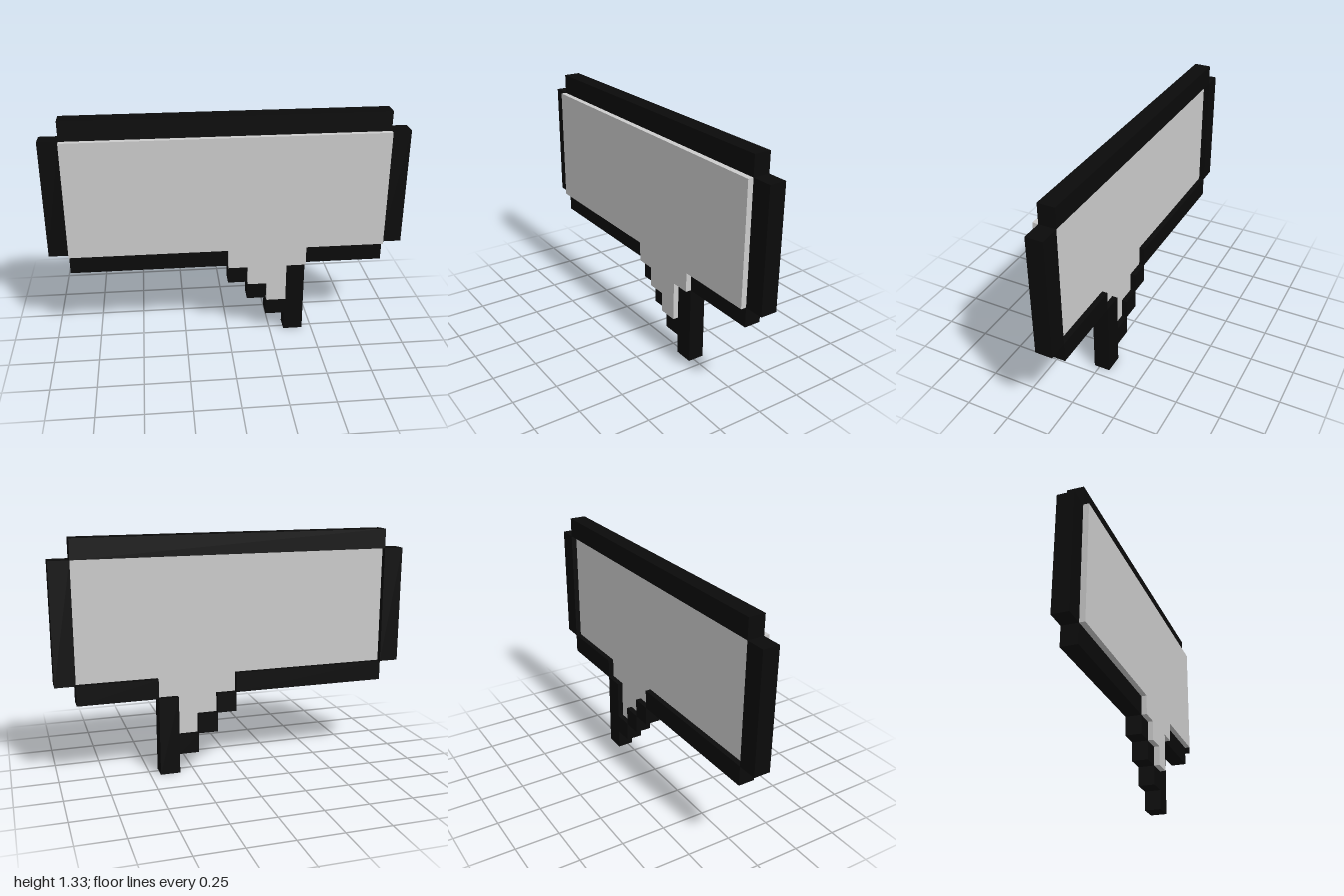
import * as THREE from 'three';

const U = 1 / 9; // one pixel cell
const FRONT = 0.062, STEP = 0.031;

export function createModel() {
  const group = new THREE.Group();
  group.name = 'speechBubble';
  const black = new THREE.MeshStandardMaterial({ color: 0x0a0a0a, flatShading: true });
  const grey = new THREE.MeshStandardMaterial({ color: 0xcccccc, flatShading: true });

  // Border blocks, given as cell ranges x0, x1, y0, y1
  const border = new THREE.Group();
  border.name = 'border';
  const bar = (name, x0, x1, y0, y1) => {
    const depth = FRONT + STEP;
    const mesh = new THREE.Mesh(new THREE.BoxGeometry((x1 - x0) * U, (y1 - y0) * U, depth), black);
    mesh.position.set((x0 + x1) / 2 * U, (y0 + y1) / 2 * U, (STEP - FRONT) / 2);
    mesh.name = name;
    border.add(mesh);
  };
  bar('topBar', -8, 8, 11, 12);
  bar('leftBar', 8, 9, 5, 11);
  bar('rightBar', -9, -8, 5, 11);
  bar('bottomBarRight', -8, 0, 4, 5);
  bar('bottomBarLeft', 4, 8, 4, 5);
  // Stepped tail outline
  for (let i = 0; i < 3; i++) bar('tailStep' + (i + 1), i, i + 1, 3 - i, 4 - i);
  bar('tailEdge', 3, 4, 0, 4);
  group.add(border);

  // Inner panel with stepped tail: proud of the border in front, recessed behind
  const outline = [
    [-8, 5], [0, 5], [0, 4], [1, 4], [1, 3], [2, 3], [2, 2],
    [3, 2], [3, 4], [4, 4], [4, 5], [8, 5], [8, 11], [-8, 11],
  ].map(([x, y]) => new THREE.Vector2(x * U, y * U));
  const panel = new THREE.Mesh(
    new THREE.ExtrudeGeometry(new THREE.Shape(outline), { depth: FRONT + STEP, bevelEnabled: false }), grey);
  panel.position.z = -STEP;
  panel.name = 'panel';
  group.add(panel);

  return group;
}
